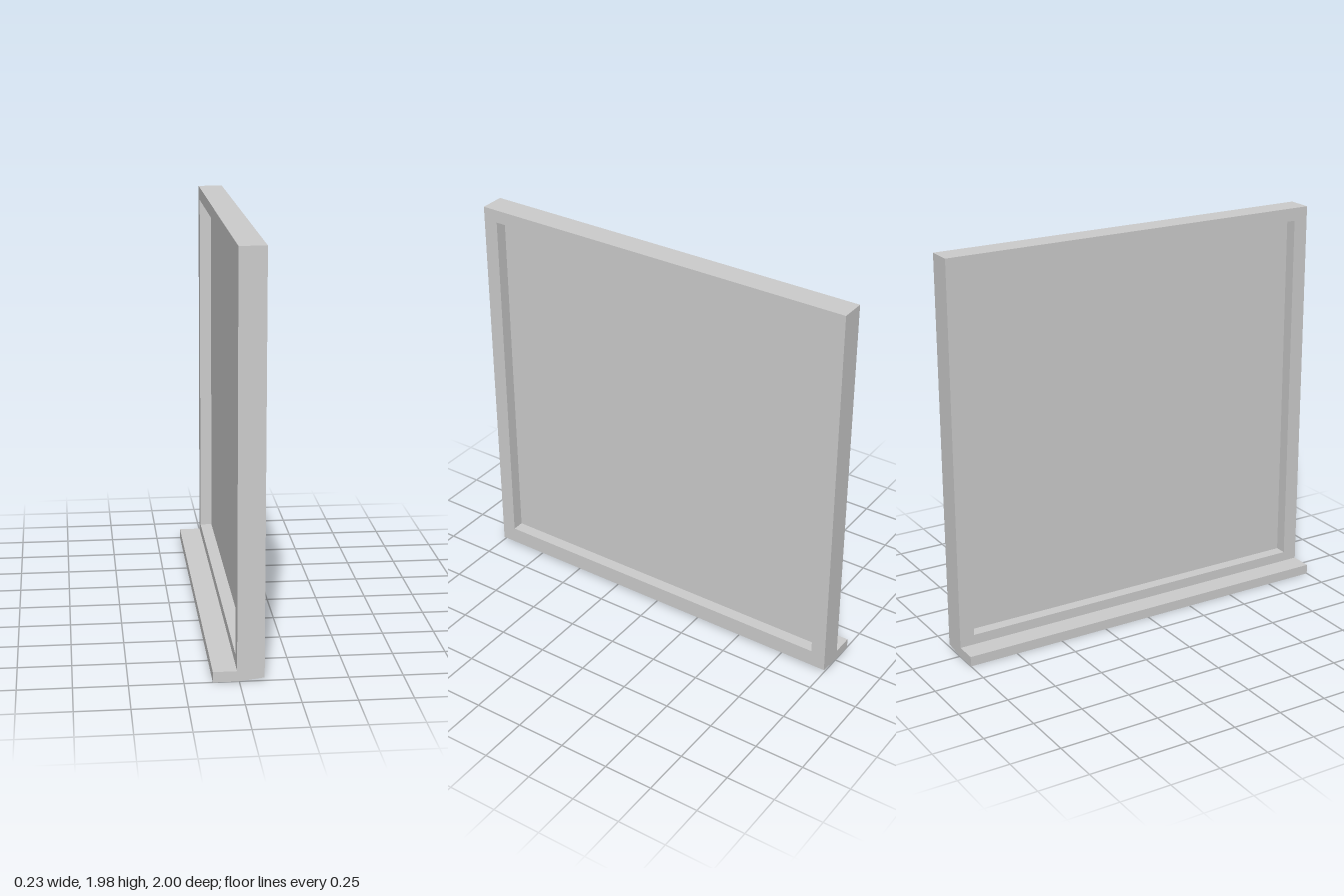
import * as THREE from 'three';

const material = new THREE.MeshStandardMaterial({ color: 0xcccccc, flatShading: true });
const INNER = -0.01, OUTER = 0.115; // frame faces along x
const TOP = 1.98, HALF = 1;

function add(group, name, geometry, mat = material) {
  const mesh = new THREE.Mesh(geometry, mat);
  mesh.name = name;
  group.add(mesh);
  return mesh;
}

function rectangle(PathType, halfWidth, bottom, top) {
  return new PathType([
    [-halfWidth, bottom], [halfWidth, bottom], [halfWidth, top], [-halfWidth, top],
  ].map(([x, y]) => new THREE.Vector2(x, y)));
}

export function createModel() {
  const model = new THREE.Group();
  model.name = 'window';

  // Square frame with an opening, turned to face along x
  const outline = rectangle(THREE.Shape, HALF, 0, TOP);
  outline.holes.push(rectangle(THREE.Path, 0.925, 0.1, 1.915));
  const frame = new THREE.ExtrudeGeometry(outline, { depth: OUTER - INNER, bevelEnabled: false });
  frame.rotateY(Math.PI / 2).translate(INNER, 0, 0);

  // Underside rises slightly towards the outer face
  const p = frame.attributes.position;
  for (let i = 0; i < p.count; i++) {
    if (p.getY(i) < 0.001 && p.getX(i) > 0.05) p.setY(i, 0.015);
  }
  frame.computeVertexNormals();
  add(model, 'frame', frame);

  // Thin pane in mid-depth, stopping just short of the top rail
  const pane = add(model, 'pane', new THREE.BoxGeometry(0.004, 1.805, 1.85));
  pane.position.set(0.0525, 0.1 + 1.805 / 2, 0);

  // Ledge along the foot of the inner face
  const sill = add(model, 'sill', new THREE.BoxGeometry(0.11, 0.05, 2 * HALF));
  sill.position.set(INNER - 0.055, 0.025, 0);

  return model;
}
